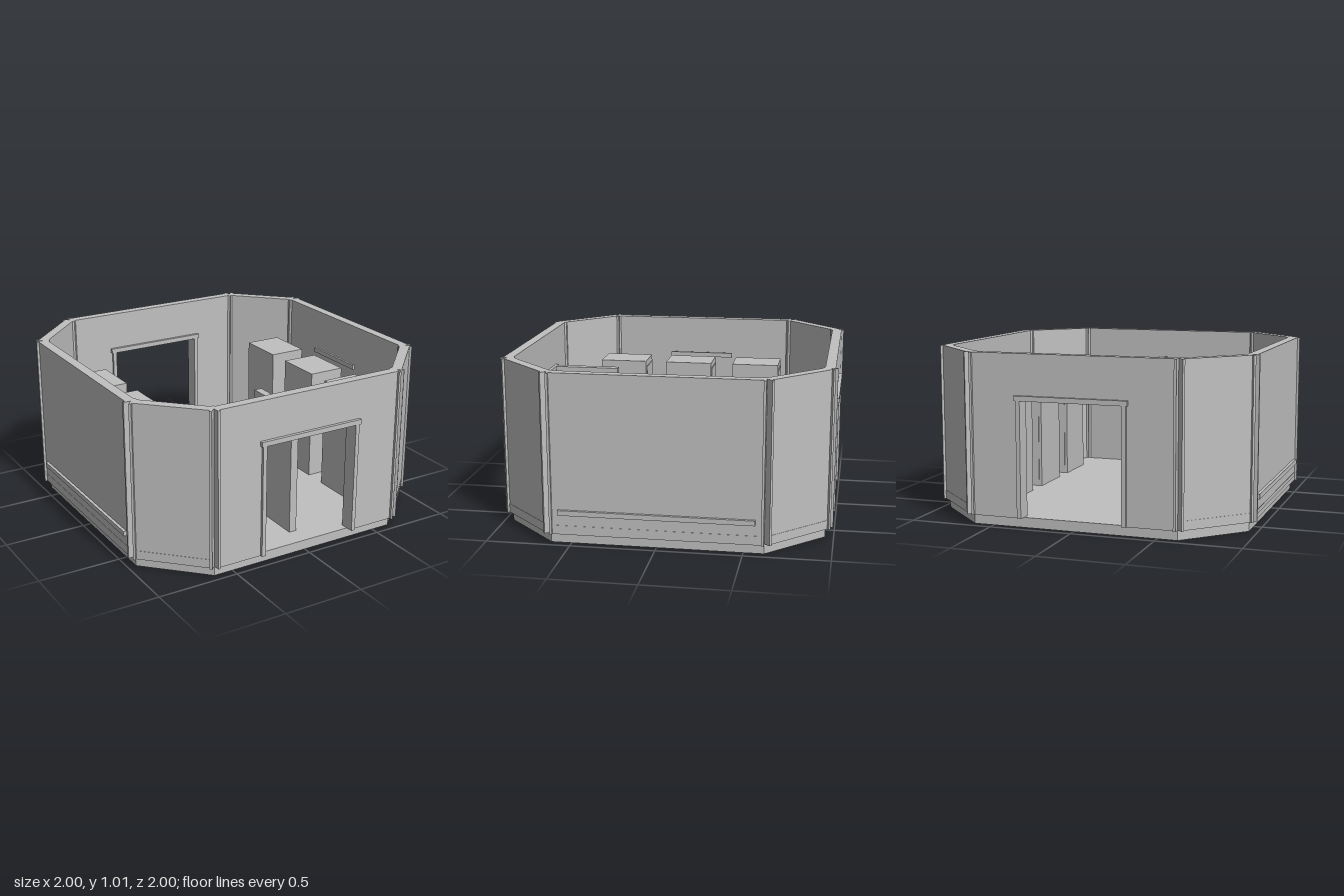
import * as THREE from 'three';

const FLOOR = 0.06, TOP = 1.015;

export function createModel() {
  const model = new THREE.Group();
  model.name = 'octagonalRoom';
  const grey = new THREE.MeshStandardMaterial({ color: 0xc0c0c0 });
  grey.name = 'lightGrey';

  const add = (parent, name, geometry) => {
    const mesh = new THREE.Mesh(geometry, grey);
    mesh.name = name;
    parent.add(mesh);
    return mesh;
  };
  // Box given by its lower and upper limits on each axis
  const box = (parent, name, x0, x1, y0, y1, z0, z1) => {
    const mesh = add(parent, name, new THREE.BoxGeometry(x1 - x0, y1 - y0, z1 - z0));
    mesh.position.set((x0 + x1) / 2, (y0 + y1) / 2, (z0 + z1) / 2);
    return mesh;
  };

  // Floor slab
  const octagon = new THREE.Shape([
    [0.62, -0.95], [0.95, -0.62], [0.95, 0.62], [0.62, 0.95],
    [-0.62, 0.95], [-0.95, 0.62], [-0.95, -0.62], [-0.62, -0.95],
  ].map(([x, y]) => new THREE.Vector2(x, y)));
  const slab = new THREE.ExtrudeGeometry(octagon, { depth: FLOOR, bevelEnabled: false });
  slab.rotateX(-Math.PI / 2);
  add(model, 'floor', slab);

  // Wall outline with a doorway open down to the floor
  const doorWall = () => {
    const shape = new THREE.Shape([
      [-0.62, FLOOR], [-0.31, FLOOR], [-0.31, 0.75], [0.31, 0.75],
      [0.31, FLOOR], [0.62, FLOOR], [0.62, TOP], [-0.62, TOP],
    ].map(([x, y]) => new THREE.Vector2(x, y)));
    const geometry = new THREE.ExtrudeGeometry(shape, { depth: 0.06, bevelEnabled: false });
    return geometry.translate(0, 0, -0.03);
  };

  // Eight walls; each is built facing +z, then turned into place
  for (let i = 0; i < 8; i++) {
    const diagonal = i % 2 === 1;
    const hasDoor = i % 4 === 0;
    const half = diagonal ? 0.2333 : 0.62;
    const angle = i * Math.PI / 4;
    const distance = diagonal ? 1.11 : 0.95;
    const wall = new THREE.Group();
    wall.name = hasDoor ? 'doorWall' : diagonal ? 'cornerWall' : 'sideWall';
    wall.position.set(Math.sin(angle) * distance, 0, Math.cos(angle) * distance);
    wall.rotation.y = angle;
    model.add(wall);

    if (hasDoor) {
      add(wall, 'wallPanel', doorWall());
      for (const s of [-1, 1]) {
        box(wall, 'doorJamb', s * 0.3175 - 0.0125, s * 0.3175 + 0.0125, FLOOR, 0.745, -0.047, 0.047);
      }
      box(wall, 'doorLintel', -0.34, 0.34, 0.745, 0.775, -0.05, 0.05);
    } else {
      box(wall, 'wallPanel', -half, half, FLOOR, TOP, -0.03, 0.03);
      box(wall, 'baseStrip', -half + 0.015, half - 0.015, 0.09, 0.115, -0.032, 0.032);
    }
    if (!hasDoor && !diagonal) {
      box(wall, 'outerRail', -0.57, 0.57, 0.18, 0.21, 0.03, 0.048);
    }
    // Upright trim at both ends
    for (const s of [-1, 1]) {
      const x = s * (half - 0.0075);
      box(wall, 'endTrim', x - 0.0075, x + 0.0075, FLOOR, TOP, -0.042, 0.045);
    }
  }

  // Cabinets in two rows, each with a thin panel on its back
  for (const s of [-1, 1]) {
    for (const z of [-0.41, 0.045, 0.495]) {
      const cabinet = new THREE.Group();
      cabinet.name = 'cabinet';
      cabinet.position.set(s * 0.665, 0, z);
      model.add(cabinet);
      box(cabinet, 'cabinetBody', -0.117, 0.117, FLOOR, 0.77, -0.155, 0.155);
      box(cabinet, 'cabinetPanel', -0.1, 0.1, 0.1, 0.73, -0.16, -0.155);
    }
    // Slim bars beside the side walls
    const x0 = s * 0.868 - 0.008, x1 = s * 0.868 + 0.008;
    box(model, 'longWallBar', x0, x1, 0.75, 0.78, -0.215, 0.215);
    box(model, 'shortWallBar', x0, x1, 0.5, 0.53, 0.33, 0.52);
  }

  // Divider behind the front door
  box(model, 'entranceDivider', -0.024, 0.024, FLOOR, 0.84, 0.415, 0.82);

  return model;
}
